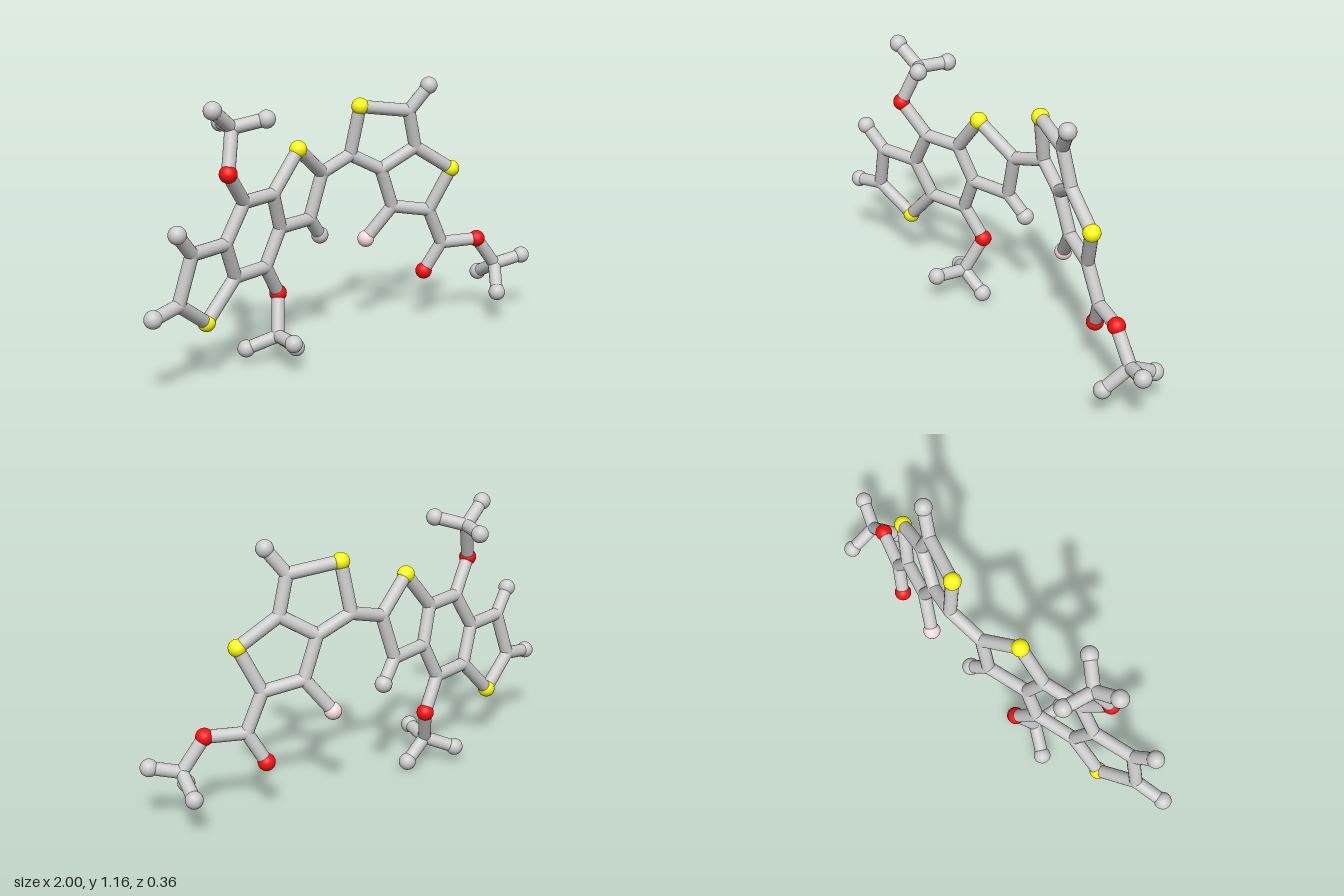
import * as THREE from 'three';

const BALL = 0.037, BOND = 0.028;
const material = color => new THREE.MeshStandardMaterial({ color });
const grey = material(0xcccccc);
const STYLE = {
  C: { name: 'carbonJoint', radius: BOND, mat: grey },
  H: { name: 'hydrogenBall', radius: BALL, mat: grey },
  S: { name: 'sulfurBall', radius: BALL, mat: material(0xffff00) },
  O: { name: 'oxygenBall', radius: BALL, mat: material(0xff0d0d) },
  F: { name: 'fluorineBall', radius: BALL, mat: material(0xffd9e0) },
};

// The two flat ring systems each lie in a tilted plane z(x, y)
const leftPlane = (x, y) => -0.22 - 0.22 * x + 0.14 * y;
const rightPlane = (x, y) => -0.296 + 0.3685 * x + 0.154 * y;

// Each atom: [x, y, z]; z is taken from the plane when left out. First letter of the key = element.
const leftRings = {
  S1: [-0.676, 0.262], C2: [-0.837, 0.38], C3: [-0.78, 0.58], C4: [-0.596, 0.58], C5: [-0.527, 0.422],
  C6: [-0.505, 0.738], C7: [-0.334, 0.738], C8: [-0.275, 0.58], C9: [-0.347, 0.422],
  S10: [-0.2, 0.904], C11: [-0.035, 0.773], C12: [-0.09, 0.577],
  H13: [-0.97, 0.358], H14: [-0.864, 0.679], H15: [-0.013, 0.487],
  // upper methoxy
  O16: [-0.612, 0.877, 0.046], C17: [-0.555, 1.045, -0.008],
  H18: [-0.66, 1.128, 0.018], H19: [-0.447, 1.079, 0.075], H20: [-0.52, 1.043, -0.14],
  // lower methoxy
  O21: [-0.26, 0.283, -0.119], C22: [-0.313, 0.123, -0.05],
  H23: [-0.428, 0.073, -0.118], H24: [-0.206, 0.042, -0.067], H25: [-0.335, 0.13, 0.089],
};
const rightRings = {
  S30: [0.152, 1.037], C31: [0.131, 0.824], C32: [0.27, 0.749], C33: [0.409, 0.84], C34: [0.363, 1.005],
  H35: [0.436, 1.112], S36: [0.58, 0.727], C37: [0.503, 0.54], C38: [0.338, 0.572], F39: [0.238, 0.428],
  // methyl ester
  C40: [0.58, 0.377], O41: [0.516, 0.246], O42: [0.741, 0.38], C43: [0.842, 0.246, 0.052],
  H44: [0.96, 0.278, 0.104], H45: [0.778, 0.143, 0.138], H46: [0.858, 0.177, -0.072],
};

// Chains of bonded atoms
const CHAINS = [
  'S1 C2 C3 C4 C5 S1', 'C4 C6 C7 C8 C9 C5', 'C7 S10 C11 C12 C8', 'C2 H13', 'C3 H14', 'C12 H15',
  'C6 O16 C17 H18', 'H19 C17 H20', 'C9 O21 C22 H23', 'H24 C22 H25',
  'C11 C31',
  'S30 C31 C32 C33 C34 S30', 'C34 H35', 'C33 S36 C37 C38 C32', 'C38 F39',
  'C37 C40 O41', 'C40 O42 C43 H44', 'H45 C43 H46',
];

export function createModel() {
  const model = new THREE.Group();
  model.name = 'ballAndStickMolecule';
  const atoms = {};

  // Balls and rounded joints
  const addAtoms = (table, plane, name) => {
    const group = new THREE.Group();
    group.name = name;
    for (const [key, [x, y, z = plane(x, y)]] of Object.entries(table)) {
      const { name: part, radius, mat } = STYLE[key[0]];
      const ball = new THREE.Mesh(new THREE.SphereGeometry(radius, 24, 16), mat);
      ball.name = part;
      ball.position.set(x, y, z);
      atoms[key] = ball.position;
      group.add(ball);
    }
    model.add(group);
  };
  addAtoms(leftRings, leftPlane, 'leftRingAtoms');
  addAtoms(rightRings, rightPlane, 'rightRingAtoms');

  // Sticks
  const bonds = new THREE.Group();
  bonds.name = 'bonds';
  const up = new THREE.Vector3(0, 1, 0);
  for (const chain of CHAINS) {
    const keys = chain.split(' ');
    for (let i = 1; i < keys.length; i++) {
      const a = atoms[keys[i - 1]], b = atoms[keys[i]];
      const dir = b.clone().sub(a);
      const stick = new THREE.Mesh(new THREE.CylinderGeometry(BOND, BOND, dir.length(), 18, 1, true), grey);
      stick.name = 'bond';
      stick.position.copy(a).add(b).multiplyScalar(0.5);
      stick.quaternion.setFromUnitVectors(up, dir.normalize());
      bonds.add(stick);
    }
  }
  model.add(bonds);
  return model;
}
